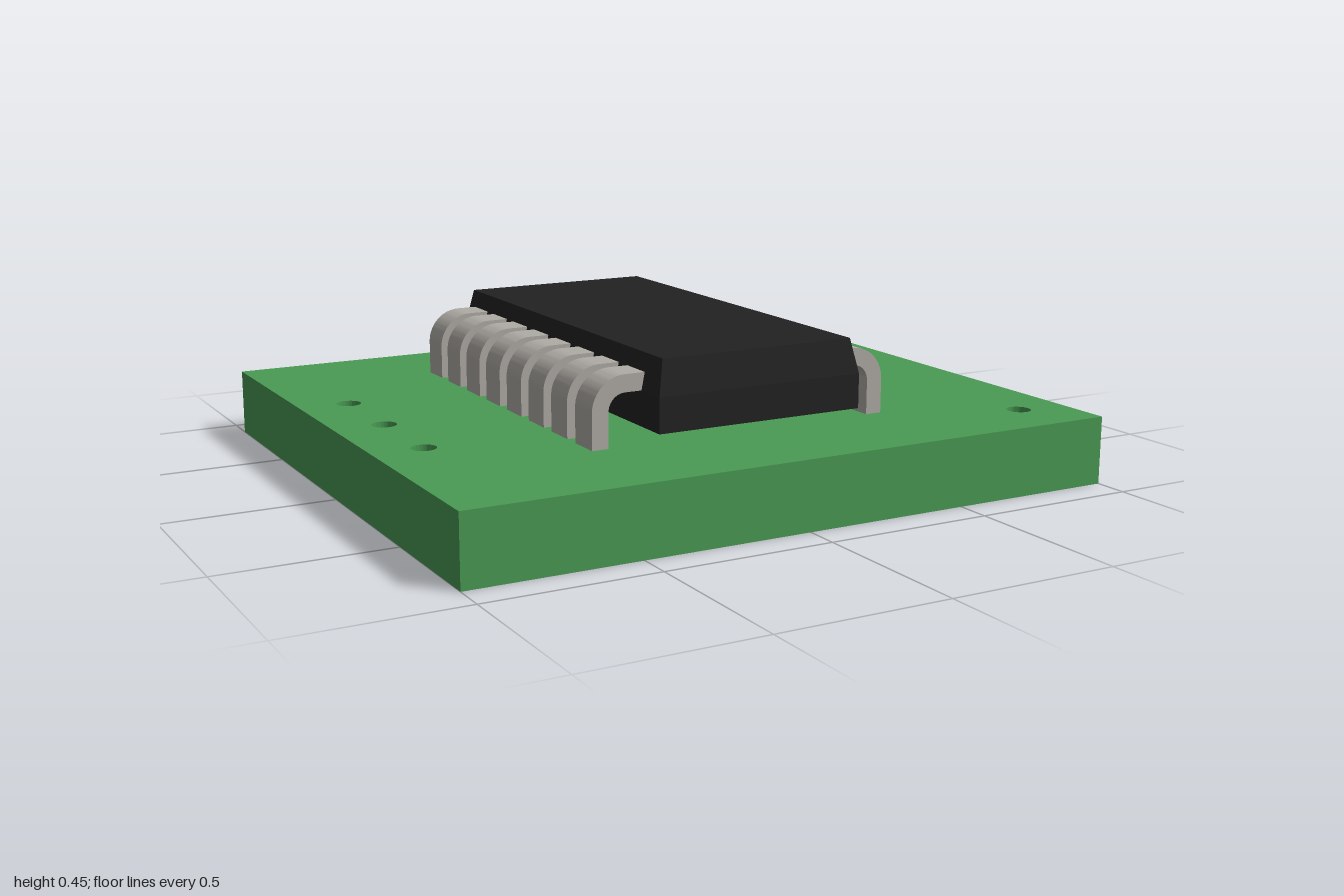
import * as THREE from 'three';
import { toCreasedNormals } from 'three/addons/utils/BufferGeometryUtils.js';

const paint = (color) => new THREE.MeshStandardMaterial({ color });

function addMesh(parent, name, geometry, material) {
  const mesh = new THREE.Mesh(geometry, material);
  mesh.name = name;
  parent.add(mesh);
  return mesh;
}

// Square board with round mounting holes drilled through it
function boardGeometry() {
  const shape = new THREE.Shape();
  shape.moveTo(-1, -0.9).lineTo(1, -0.9).lineTo(1, 0.9).lineTo(-1, 0.9).closePath();
  const holes = [[-0.85, -0.3], [-0.85, 0], [-0.85, 0.3], [0.847, -0.715], [0.847, 0.715]];
  for (const [x, z] of holes) {
    shape.holes.push(new THREE.Path().absarc(x, -z, 0.036, 0, Math.PI * 2, true));
  }
  const geo = new THREE.ExtrudeGeometry(shape, { depth: 0.2, bevelEnabled: false, curveSegments: 24 });
  geo.rotateX(-Math.PI / 2);
  return toCreasedNormals(geo, 0.6);
}

// Chip block: straight lower half, upper half tapering inwards
function chipGeometry() {
  const geo = new THREE.BoxGeometry(0.64, 0.2, 1.3, 1, 2, 1).toNonIndexed();
  const pos = geo.attributes.position;
  for (let i = 0; i < pos.count; i++) {
    if (pos.getY(i) < 0.05) continue;
    pos.setX(i, Math.sign(pos.getX(i)) * 0.3);
    pos.setZ(i, Math.sign(pos.getZ(i)) * 0.63);
  }
  geo.computeVertexNormals();
  return geo.translate(0, 0.35, 0);
}

// Flat pin that leaves the chip, bends down and stands on the board
function pinGeometry() {
  const shape = new THREE.Shape();
  shape.moveTo(0.31, 0.35).lineTo(0.37, 0.35);
  shape.absarc(0.37, 0.3, 0.05, Math.PI / 2, 0, true);
  shape.lineTo(0.42, 0.2).lineTo(0.47, 0.2).lineTo(0.47, 0.3);
  shape.absarc(0.37, 0.3, 0.1, 0, Math.PI / 2, false);
  shape.lineTo(0.31, 0.4).closePath();
  const geo = new THREE.ExtrudeGeometry(shape, { depth: 0.1, bevelEnabled: false, curveSegments: 10 });
  geo.translate(0, 0, -0.05);
  return toCreasedNormals(geo, 0.6);
}

export function createModel() {
  const model = new THREE.Group();
  model.name = 'circuitBoard';

  addMesh(model, 'board', boardGeometry(), paint(0x4a9a54));
  addMesh(model, 'chipBody', chipGeometry(), paint(0x222222));

  // Eight pins along each long side
  const pin = pinGeometry();
  const metal = paint(0xb0aca6);
  for (const side of ['left', 'right']) {
    const row = new THREE.Group();
    row.name = side + 'Pins';
    for (let i = 0; i < 8; i++) {
      const mesh = addMesh(row, side + 'Pin' + (i + 1), pin, metal);
      mesh.position.z = -0.55 + i * 0.15;
      if (side === 'right') mesh.rotation.y = Math.PI;
    }
    model.add(row);
  }
  return model;
}
